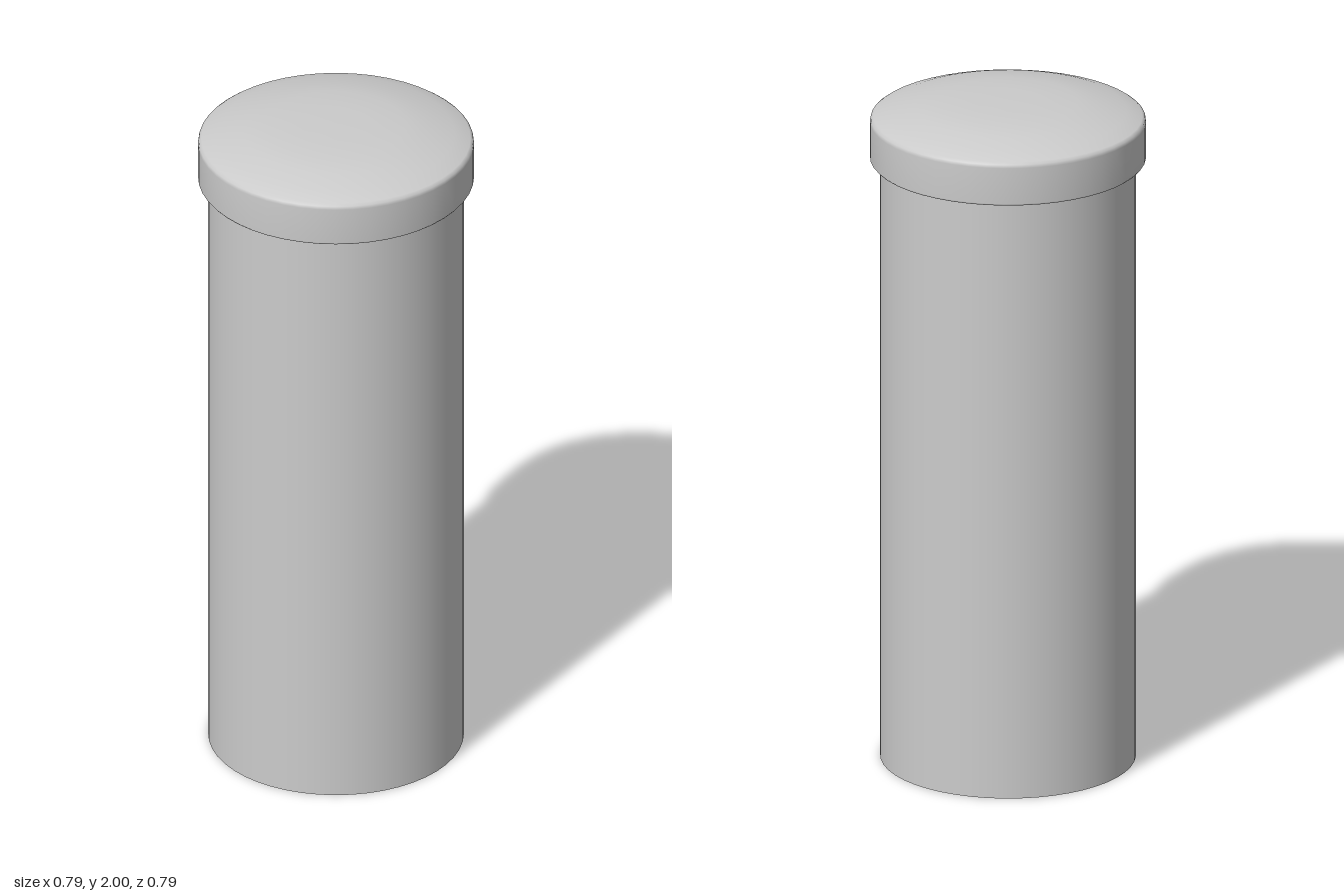
import * as THREE from 'three';

const SEGMENTS = 48;

// Revolve several profile strips; each strip is smooth, with a crease between strips
function revolve(group, name, strips, material) {
  const part = new THREE.Group();
  part.name = name;
  for (const [stripName, points] of Object.entries(strips)) {
    const profile = points.map(([r, y]) => new THREE.Vector2(r, y));
    const mesh = new THREE.Mesh(new THREE.LatheGeometry(profile, SEGMENTS), material);
    mesh.name = stripName;
    part.add(mesh);
  }
  group.add(part);
}

export function createModel() {
  const model = new THREE.Group();
  model.name = 'cappedTube';
  const material = new THREE.MeshStandardMaterial({ color: 0xcccccc, side: THREE.DoubleSide });

  // Thin-walled tube, open at the bottom
  revolve(model, 'tube', { tubeWall: [[0.367, 0], [0.367, 1.83]] }, material);

  // Overhanging cap with a shallow domed top
  revolve(model, 'cap', {
    capUnderside: [[0.367, 1.82], [0.391, 1.82]],
    capRimAndDome: [
      [0.391, 1.82], [0.396, 1.826], [0.396, 1.935], [0.394, 1.945], [0.386, 1.951],
      [0.34, 1.967], [0.27, 1.983], [0.2, 1.995], [0.1, 1.999], [0, 2],
    ],
  }, material);

  return model;
}
